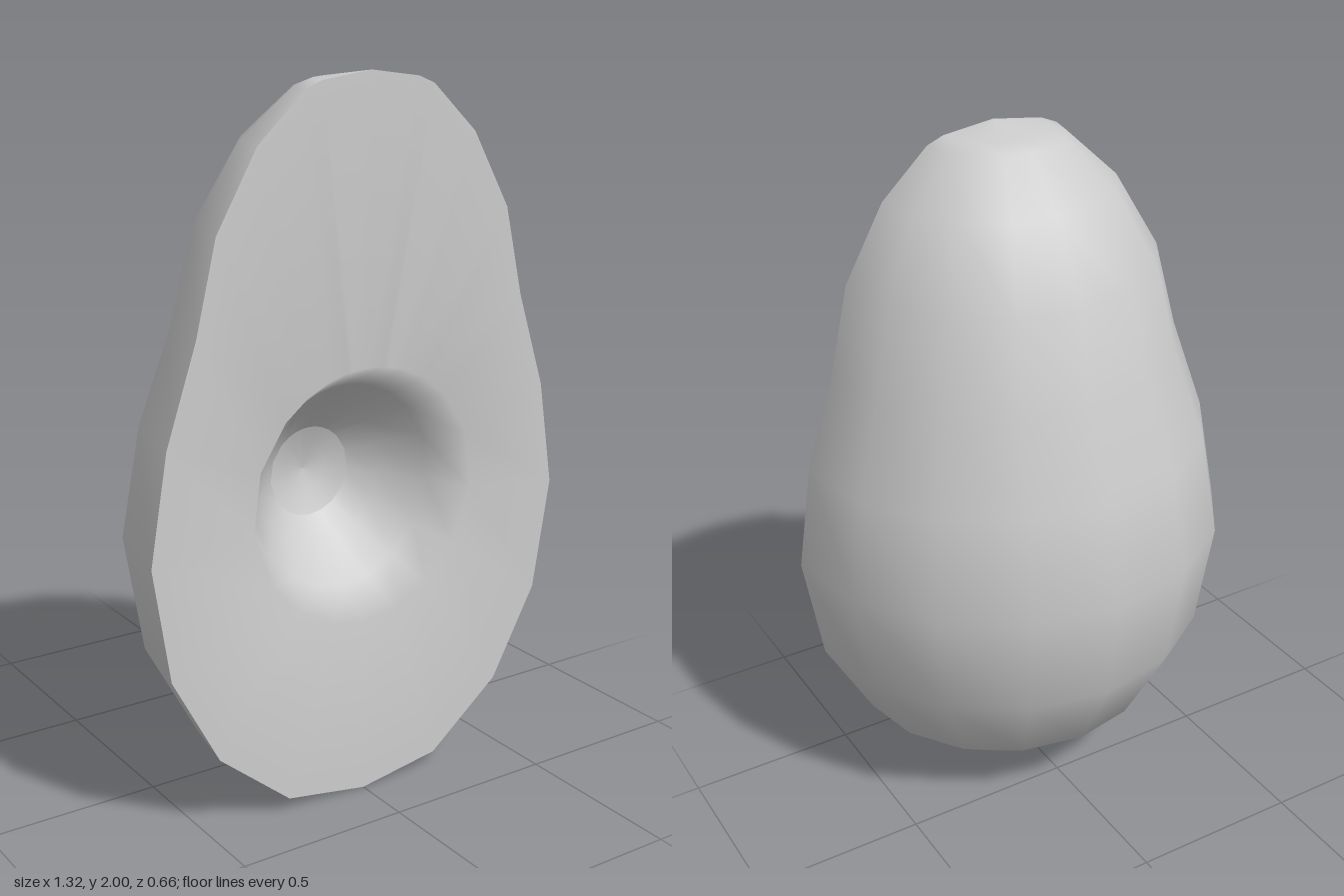
import * as THREE from 'three';

// Half profile of the egg-shaped body, bottom to top: [radius, height]
const PROFILE = [
  [0, 0], [0.25, 0.04], [0.47, 0.22], [0.61, 0.48], [0.66, 0.8], [0.61, 1.1],
  [0.52, 1.37], [0.46, 1.62], [0.34, 1.83], [0.2, 1.96], [0.15, 1.98], [0, 2],
];
const FRONT_Z = 0.33;
const HOLLOW_Y = 0.87;

// Joins closed rings of equal length into one smooth surface facing +z
function ringSurface(rings) {
  const n = rings[0].length;
  const index = [];
  for (let r = 0; r < rings.length - 1; r++) {
    for (let i = 0; i < n; i++) {
      const j = (i + 1) % n;
      const a = r * n + i, b = r * n + j, c = a + n, d = b + n;
      index.push(a, b, d, a, d, c);
    }
  }
  const geometry = new THREE.BufferGeometry();
  geometry.setAttribute('position', new THREE.Float32BufferAttribute(rings.flat(2), 3));
  geometry.setIndex(index);
  geometry.computeVertexNormals();
  return geometry;
}

export function createModel() {
  const group = new THREE.Group();
  const grey = new THREE.MeshStandardMaterial({ color: 0xcccccc });
  grey.name = 'plain grey';

  const add = (name, geometry) => {
    const mesh = new THREE.Mesh(geometry, grey);
    mesh.name = name;
    group.add(mesh);
    return mesh;
  };

  // Rounded back: half a turn of the profile
  const points = PROFILE.map(([r, y]) => new THREE.Vector2(r, y));
  add('roundedBack', new THREE.LatheGeometry(points, 8, Math.PI / 2, Math.PI)).position.z = FRONT_Z;

  // Outline of the cut face, counterclockwise from the bottom
  const left = PROFILE.slice(1, -1).reverse().map(([x, y]) => [-x, y]);
  const outline = [...PROFILE, ...left].map(([x, y]) => [x, y, FRONT_Z]);
  const angles = outline.map(([x, y]) => Math.atan2(y - HOLLOW_Y, x));

  // Flat cut face running softly into the hollow
  const circle = ([radius, depth]) => angles.map((t) => [
    radius * Math.cos(t), HOLLOW_Y + radius * Math.sin(t), FRONT_Z - depth,
  ]);
  const wall = [[0.36, 0], [0.29, 0.11], [0.2, 0.22], [0.13, 0.28]];
  add('cutFaceAndHollow', ringSurface([outline, ...wall.map(circle)]));

  // Shallow floor of the hollow, with a crisp edge
  const floor = [[0.13, 0.28], [0.07, 0.305], [0.001, 0.315]];
  add('hollowFloor', ringSurface(floor.map(circle)));

  return group;
}
